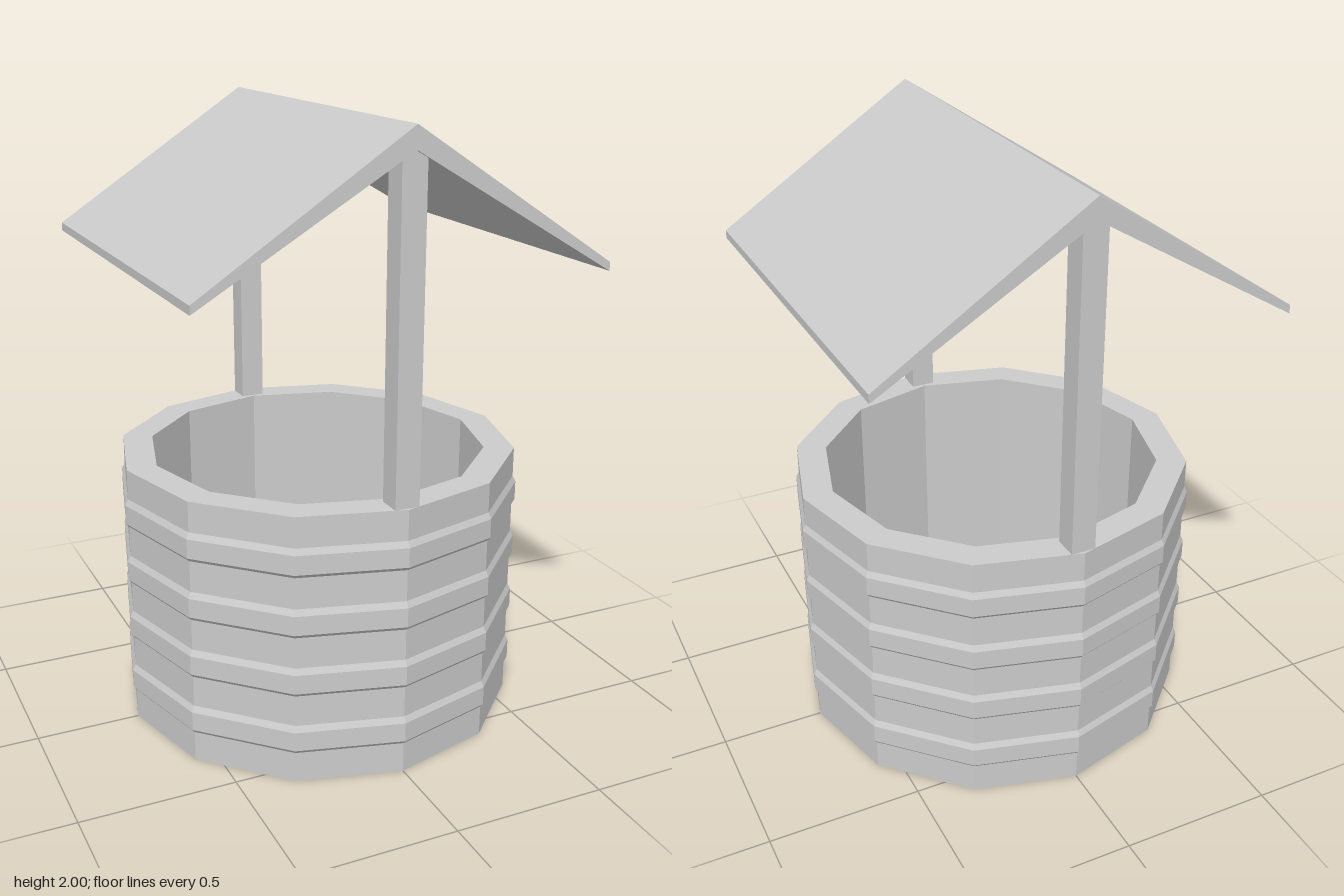
import * as THREE from 'three';

const material = new THREE.MeshStandardMaterial({ color: 0xcccccc, flatShading: true });

// Extrudes a front outline along z, centred on the given z.
function prism(name, points, depth, z) {
  const shape = new THREE.Shape(points.map(([x, y]) => new THREE.Vector2(x, y)));
  const geometry = new THREE.ExtrudeGeometry(shape, { depth, bevelEnabled: false });
  geometry.translate(0, 0, z - depth / 2);
  const mesh = new THREE.Mesh(geometry, material);
  mesh.name = name;
  return mesh;
}

export function createModel() {
  const well = new THREE.Group();
  well.name = 'well';

  // Twelve-sided hollow wall with four raised courses
  const outer = 0.66, raised = 0.67, inner = 0.56, rim = 0.885, floor = 0.05;
  const profile = [[0, 0], [outer, 0]];
  for (let i = 0; i < 4; i++) {
    const y = 0.1 + i * 0.197;
    profile.push([outer, y], [raised, y + 0.012], [raised, y + 0.075], [outer, y + 0.095]);
  }
  profile.push([outer, rim], [inner, rim], [inner, floor], [0, floor]);
  const wall = new THREE.Mesh(
    new THREE.LatheGeometry(profile.map(([r, y]) => new THREE.Vector2(r, y)), 12), material);
  wall.name = 'wall';
  well.add(wall);

  // Posts standing on the rim, their tops cut to fit under the ridge
  const postOutline = [[-0.04, rim - 0.005], [0.04, rim - 0.005], [0.04, 1.906], [0, 1.93], [-0.04, 1.906]];
  well.add(prism('frontPost', postOutline, 0.08, 0.61));
  well.add(prism('backPost', postOutline, 0.08, -0.61));

  // Gable roof, thinner towards the eaves
  well.add(prism('roof', [
    [-0.66, 1.54], [0, 1.93], [0.66, 1.54], [0.66, 1.567], [0, 2], [-0.66, 1.567],
  ], 1.32, 0));

  return well;
}
